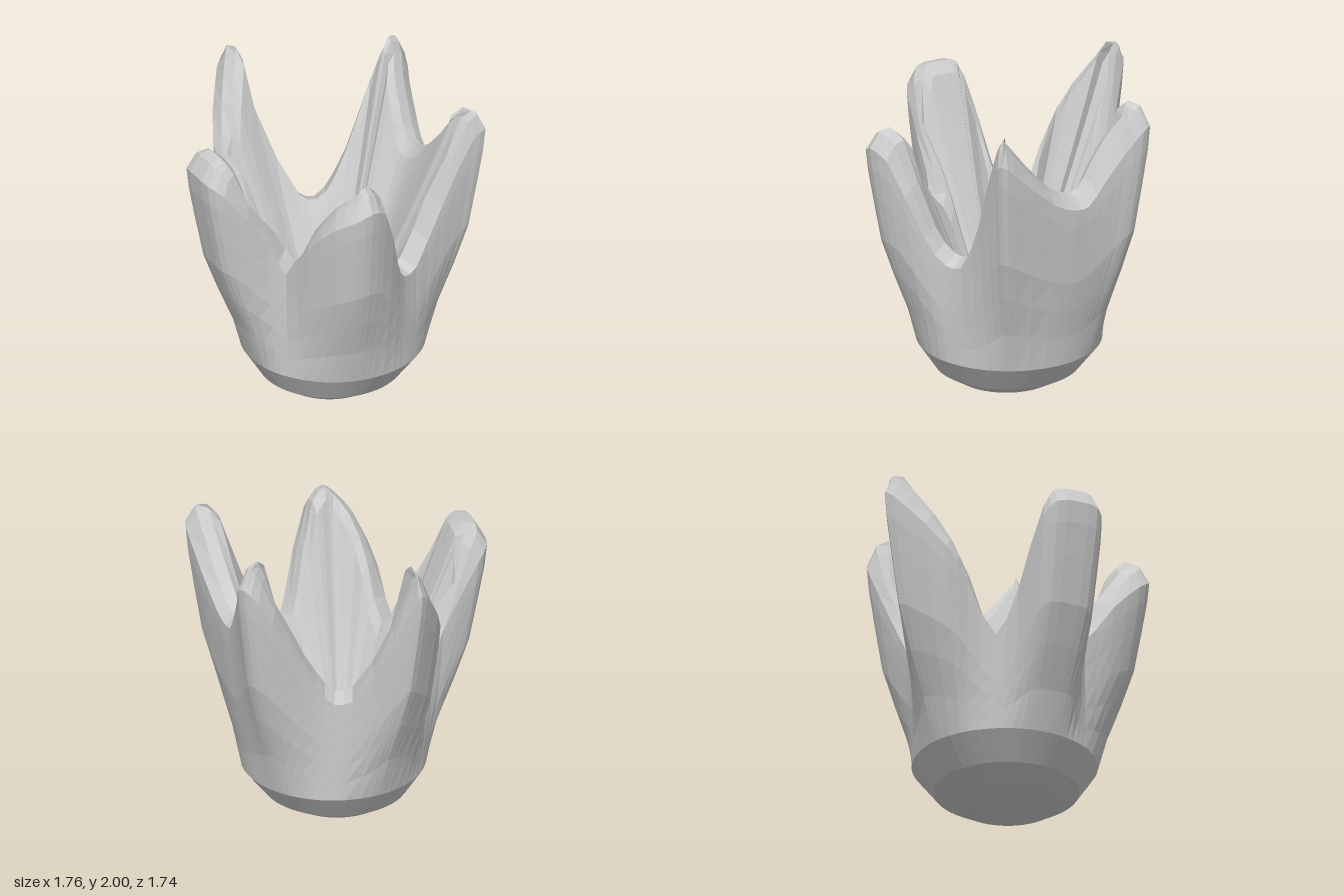
import * as THREE from 'three';

// Rim of the cup, anticlockwise from above: outer x, outer z, crest height
const RIM = [
  [-0.475, 0.27, 1.1], [-0.49, 0.48, 1.4], [-0.47, 0.70, 1.64], [-0.40, 0.83, 1.74],
  [-0.32, 0.87, 1.79], [-0.2, 0.85, 1.73], [0, 0.73, 1.2],
  [0.11, 0.665, 1.04], [0.22, 0.64, 1.05], [0.4, 0.66, 1.42], [0.6, 0.72, 1.9],
  [0.68, 0.735, 1.96], [0.7, 0.65, 1.88], [0.72, 0.35, 1.57],
  [0.74, 0.2, 1.49], [0.75, 0.1, 1.49], [0.78, 0, 1.64], [0.83, -0.12, 1.83],
  [0.88, -0.22, 1.98], [0.87, -0.28, 2.0], [0.8, -0.32, 1.9], [0.6, -0.335, 1.5],
  [0.43, -0.35, 1.18], [0.32, -0.39, 1.05], [0.24, -0.46, 1.08], [0.1, -0.7, 1.58],
  [0.03, -0.83, 1.92], [0, -0.87, 2.0], [-0.1, -0.8, 1.88], [-0.27, -0.62, 1.57],
  [-0.29, -0.48, 1.36], [-0.35, -0.32, 1.0], [-0.5, -0.265, 1.28], [-0.74, -0.27, 1.73],
  [-0.82, -0.23, 1.82], [-0.86, -0.1, 1.84], [-0.88, 0.03, 1.83], [-0.82, 0.11, 1.76],
  [-0.55, 0.2, 1.3],
];
const CENTRE_Z = 0.09;
const FLOOR = 0.22;
const COLUMNS_PER_POINT = 2;

// Rounded bowl below the petals: height, radius, sideways shift
const BOWL = [[0, 0, 0], [0.055, 0.14, 0], [0.12, 0.3, 0.02], [0.2, 0.43, 0.03], [0.37, 0.55, 0.045]];
// Outer wall: share of the height, share of the way from bowl to rim
const WALL = [[0.18, 0.2], [0.36, 0.47], [0.54, 0.71], [0.75, 0.86], [0.9, 0.96], [1, 1]];
// Inner wall: share of the way from the middle to the inner rim
const INSIDE = [0.93, 0.82, 0.68, 0.5, 0.3, 0];

// One strip of points from the base, over the crest, to the inner floor
function column(p, tangent) {
  const strip = [];
  const out = new THREE.Vector2(p.x, p.z - CENTRE_Z).normalize();
  for (const [y, r, shift] of BOWL) {
    strip.push([shift + out.x * r, y, CENTRE_Z + out.y * r]);
  }

  const tall = THREE.MathUtils.clamp((p.y - 1.2) / 0.8, 0, 1);
  const lip = p.y - 0.04 - 0.1 * tall;
  const [bx, by, bz] = strip[strip.length - 1];
  for (const [s, f] of WALL) {
    strip.push([bx + (p.x - bx) * f, by + (lip - by) * s, bz + (p.z - bz) * f]);
  }

  // The crest is broad at tips and valleys, and thin along the petals' sides
  const normal = new THREE.Vector2(-tangent.z, tangent.x).normalize();
  const facing = THREE.MathUtils.smoothstep(normal.dot(out), 0.3, 0.85);
  const width = (0.3 + 0.7 * facing) * (1 + 0.25 * tall);
  const inward = normal.multiplyScalar(-0.45).sub(out).normalize();
  const inset = (d, y) => [p.x + inward.x * d * width, y, p.z + inward.y * d * width];
  const inner = inset(0.16, p.y - 0.09 + 0.04 * tall);
  strip.push(inset(0.05, p.y - 0.02), inset(0.11, p.y), inner);
  for (const g of INSIDE) {
    strip.push([
      inner[0] * g,
      FLOOR + (inner[1] - FLOOR) * Math.pow(g, 1.2),
      CENTRE_Z + (inner[2] - CENTRE_Z) * g,
    ]);
  }
  return strip;
}

export function createModel() {
  const group = new THREE.Group();
  group.name = 'petalCup';

  const curve = new THREE.CatmullRomCurve3(
    RIM.map(([x, z, h]) => new THREE.Vector3(x, h, z)), true, 'centripetal');
  const count = RIM.length * COLUMNS_PER_POINT;
  const positions = [];
  const index = [];
  let rows = 0;
  for (let i = 0; i < count; i++) {
    const t = i / count;
    const p = curve.getPoint(t);
    p.y = Math.min(p.y, 2);
    const strip = column(p, curve.getTangent(t));
    rows = strip.length;
    strip.forEach((v) => positions.push(...v));
  }

  // Join neighbouring strips, leaving out the collapsed triangles at both ends
  for (let i = 0; i < count; i++) {
    const a = i * rows;
    const b = ((i + 1) % count) * rows;
    for (let j = 0; j < rows - 1; j++) {
      if (j > 0) index.push(a + j, b + j, b + j + 1);
      if (j < rows - 2) index.push(a + j, b + j + 1, a + j + 1);
    }
  }

  const geometry = new THREE.BufferGeometry();
  geometry.setAttribute('position', new THREE.Float32BufferAttribute(positions, 3));
  geometry.setIndex(index);
  geometry.computeVertexNormals();

  const cup = new THREE.Mesh(geometry, new THREE.MeshStandardMaterial({
    color: 0xcccccc, flatShading: true, side: THREE.DoubleSide,
  }));
  cup.name = 'fivePetalCup';
  group.add(cup);
  return group;
}
